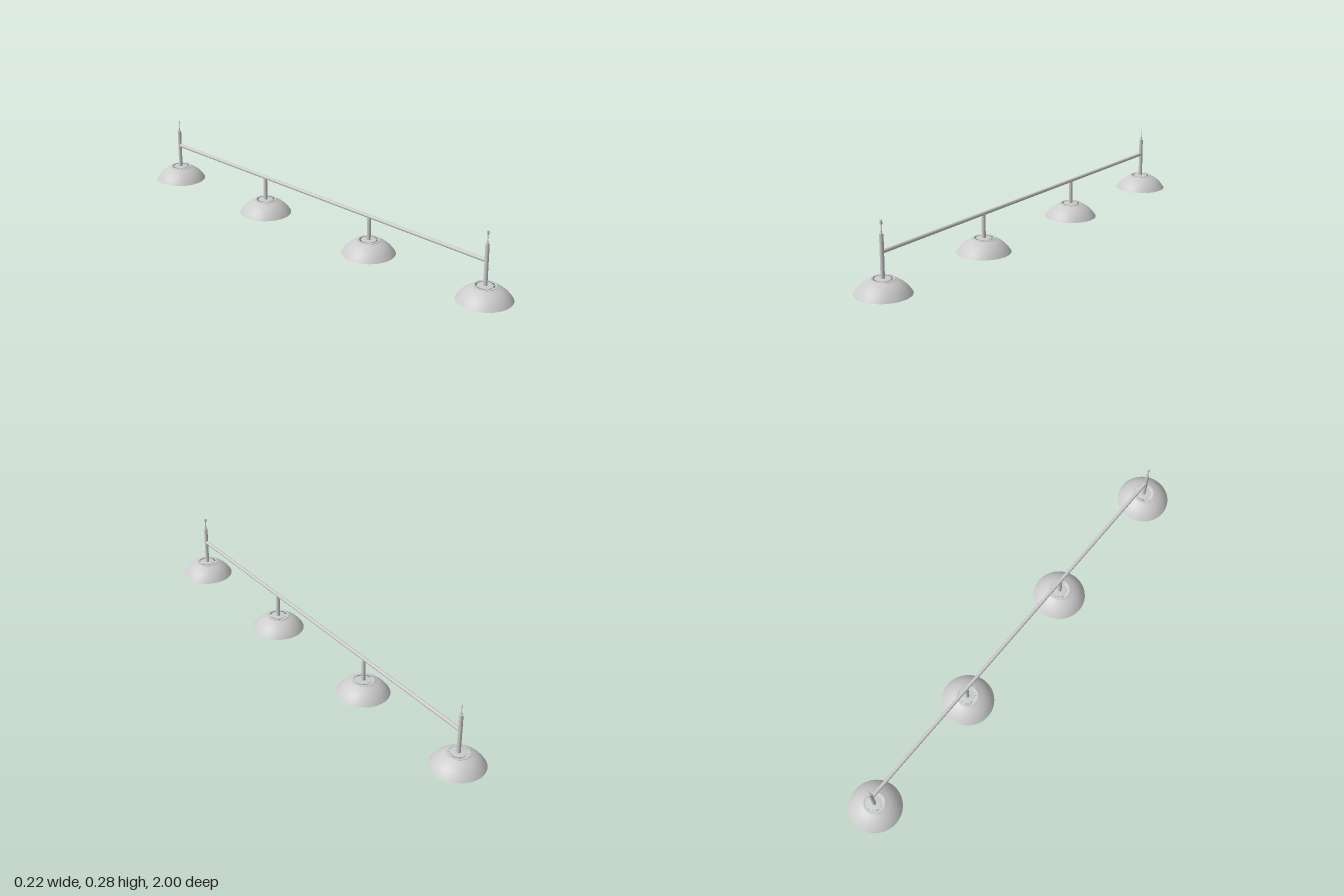
import * as THREE from 'three';

const mat = new THREE.MeshStandardMaterial({ color: 0xcccccc, side: THREE.DoubleSide });

function add(parent, name, geometry, x = 0, y = 0, z = 0) {
  const mesh = new THREE.Mesh(geometry, mat);
  mesh.name = name;
  mesh.position.set(x, y, z);
  parent.add(mesh);
  return mesh;
}

// Upright cylinder between two heights
function post(parent, name, radius, y0, y1, segments = 24) {
  return add(parent, name, new THREE.CylinderGeometry(radius, radius, y1 - y0, segments), 0, (y0 + y1) / 2, 0);
}

const lathe = (pts, segments = 64) =>
  new THREE.LatheGeometry(pts.map(([r, y]) => new THREE.Vector2(r, y)), segments);

function createLamp(stemTop) {
  const lamp = new THREE.Group();
  lamp.name = 'lamp';

  // Thin domed shade with an open top
  const curve = new THREE.SplineCurve([
    [0.11, 0.005], [0.101, 0.018], [0.087, 0.034], [0.068, 0.049], [0.045, 0.061],
  ].map(([x, y]) => new THREE.Vector2(x, y)));
  add(lamp, 'shade', new THREE.LatheGeometry(curve.getPoints(20), 64));

  // Rim around the top opening, with a separate cap inside it
  add(lamp, 'topRim', lathe([[0.046, 0.061], [0.046, 0.064], [0.038, 0.064], [0.038, 0.061], [0.046, 0.061]]));
  add(lamp, 'cap', lathe([[0, 0.06], [0.031, 0.06], [0.031, 0.064], [0, 0.064]]));

  // Narrow bridges holding the cap in the rim
  for (let i = 0; i < 4; i++) {
    const a = (i + 0.5) * Math.PI / 2;
    const bridge = add(lamp, 'bridge', new THREE.BoxGeometry(0.011, 0.002, 0.004),
      Math.cos(a) * 0.035, 0.062, Math.sin(a) * 0.035);
    bridge.rotation.y = -a;
  }

  // Stem, socket and the light disc below
  post(lamp, 'stem', 0.008, 0.055, stemTop);
  post(lamp, 'socket', 0.01, 0.004, 0.06);
  post(lamp, 'lightDisc', 0.018, 0, 0.006, 32);
  return lamp;
}

export function createModel() {
  const model = new THREE.Group();
  model.name = 'linearPendantLamp';

  // Four lamps; the outer stems rise above the bar
  for (const z of [0.89, 0.3, -0.31, -0.89]) {
    const outer = Math.abs(z) > 0.5;
    const lamp = createLamp(outer ? 0.233 : 0.16);
    lamp.position.z = z;
    model.add(lamp);
    if (!outer) continue;

    // Cable gland and suspension wire, the front one with a plug
    post(lamp, 'cableGland', 0.003, 0.233, 0.245, 16);
    post(lamp, 'wire', 0.0015, 0.24, 0.28, 12);
    if (z > 0) post(lamp, 'plug', 0.005, 0.268, 0.283, 16);
  }

  // Long horizontal bar
  const bar = add(model, 'bar', new THREE.CylinderGeometry(0.0075, 0.0075, 1.78, 24), 0, 0.164, 0);
  bar.rotation.x = Math.PI / 2;

  return model;
}
